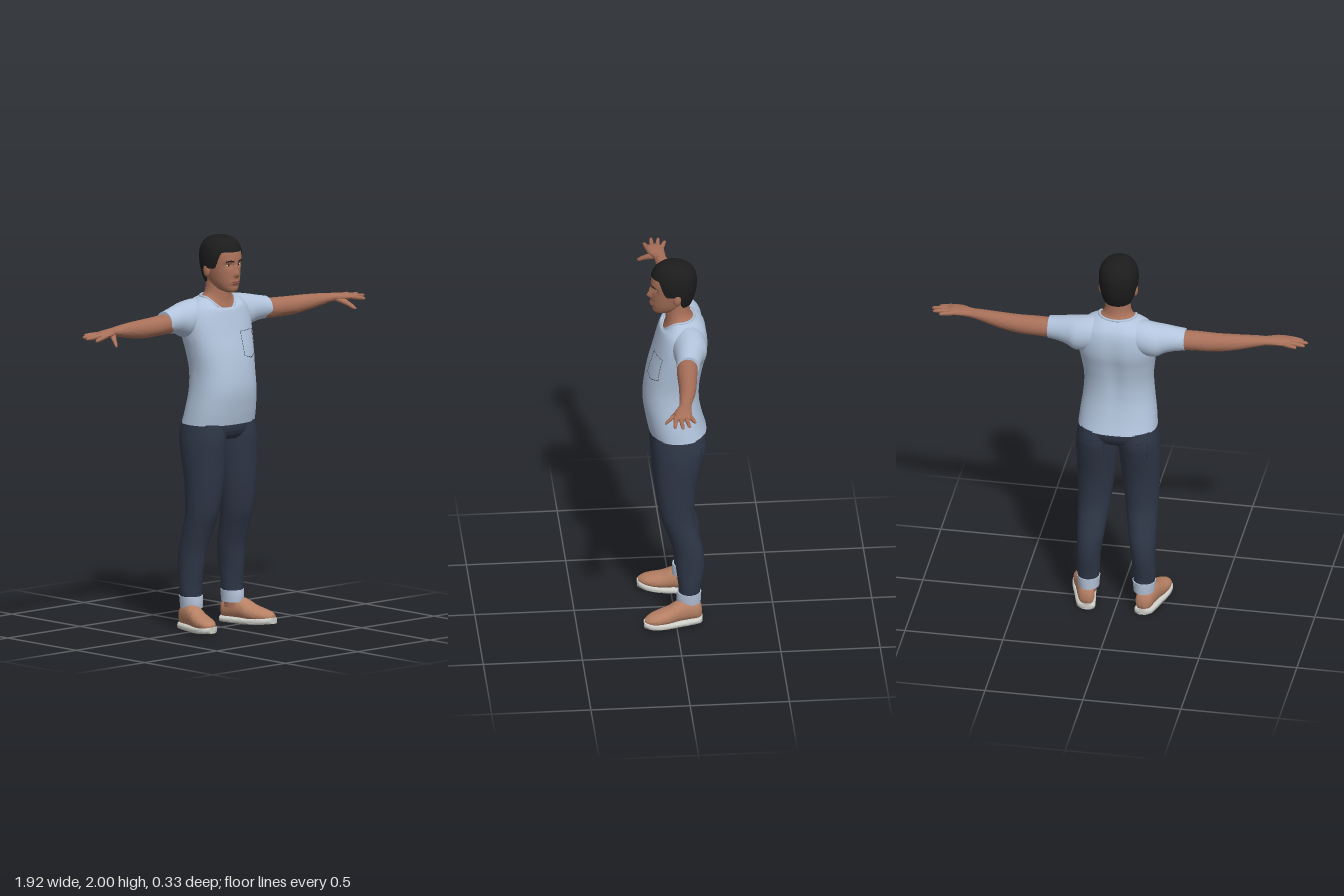
import * as THREE from 'three';
import { toCreasedNormals, mergeGeometries } from 'three/addons/utils/BufferGeometryUtils.js';

const mat = (name, color) => Object.assign(new THREE.MeshStandardMaterial({ color }), { name });
const gauss = (a, sa, b, sb) => Math.exp(-((a / sa) ** 2) - (b / sb) ** 2);

// Closed ring grid: fn(u, v) gives a point, u wraps around, v runs along the part
function grid(fn, nu, nv, caps) {
  const pos = [], idx = [];
  for (let j = 0; j <= nv; j++)
    for (let i = 0; i < nu; i++) pos.push(...fn(i / nu, j / nv));
  for (let j = 0; j < nv; j++)
    for (let i = 0; i < nu; i++) {
      const a = j * nu + i, b = j * nu + (i + 1) % nu;
      idx.push(a, b, b + nu, a, b + nu, a + nu);
    }
  if (caps) for (const [row, flip] of [[0, true], [nv, false]]) {
    const c = [0, 0, 0], k = pos.length / 3;
    for (let i = 0; i < nu; i++) for (let d = 0; d < 3; d++) c[d] += pos[(row * nu + i) * 3 + d] / nu;
    pos.push(...c);
    for (let i = 0; i < nu; i++) {
      const a = row * nu + i, b = row * nu + (i + 1) % nu;
      idx.push(...(flip ? [k, b, a] : [k, a, b]));
    }
  }
  const g = new THREE.BufferGeometry();
  g.setAttribute('position', new THREE.Float32BufferAttribute(pos, 3));
  g.setIndex(idx);
  return toCreasedNormals(g, 0.95);
}

// Smooth loft along an axis (0 x, 1 y, 2 z). Section: [t, centreP, centreQ, radiusP, radiusQ, frontDip]
// where P is the previous axis and Q the next one
function loft(axis, secs, { n = 32, steps = 5, e = 2, caps = true, sculpt } = {}) {
  const p = (axis + 2) % 3, q = (axis + 1) % 3, last = secs.length - 1;
  const at = (v) => {
    const f = v * last, i = Math.min(Math.floor(f), last - 1), t = f - i;
    const S = (k) => secs[Math.max(0, Math.min(last, k))];
    return [0, 1, 2, 3, 4, 5].map((k) => {
      const [a, b, c, d] = [-1, 0, 1, 2].map((o) => S(i + o)[k] ?? 0);
      return b + 0.5 * t * (c - a + t * (2 * a - 5 * b + 4 * c - d + t * (3 * (b - c) + d - a)));
    });
  };
  const pw = (x) => Math.sign(x) * Math.abs(x) ** (2 / e);
  return grid((u, v) => {
    const [t, cp, cq, rp, rq, dip] = at(v), s = Math.sin(u * 2 * Math.PI), c = Math.cos(u * 2 * Math.PI);
    const o = [0, 0, 0];
    o[axis] = t - dip * Math.max(0, c) ** 2;
    o[p] = cp + rp * pw(s);
    o[q] = cq + rq * pw(c);
    if (sculpt) sculpt(o);
    return o;
  }, n, last * steps, caps);
}

function mirrored(geo) {
  const g = geo.index ? geo.toNonIndexed() : geo.clone();
  for (const a of Object.values(g.attributes))
    for (let i = 0; i < a.count; i += 3)
      for (let k = 0; k < a.itemSize; k++) {
        const x = a.getComponent(i + 1, k);
        a.setComponent(i + 1, k, a.getComponent(i + 2, k));
        a.setComponent(i + 2, k, x);
      }
  return g.scale(-1, 1, 1);
}

// Point on the given meshes seen straight from the front (+1) or back (-1)
function project(meshes, x, y, dir) {
  const ray = new THREE.Raycaster(new THREE.Vector3(x, y, dir), new THREE.Vector3(0, 0, -dir));
  const hit = ray.intersectObjects(meshes)[0];
  return hit ? hit.point : new THREE.Vector3(x, y, 0.1 * dir);
}

// Dashed stitches along a polyline laid on the surface
function stitches(meshes, corners, dir) {
  const dashes = [];
  for (let k = 0; k + 1 < corners.length; k++) {
    const [a, b] = [corners[k], corners[k + 1]];
    const m = Math.max(2, Math.round(Math.hypot(b[0] - a[0], b[1] - a[1]) / 0.013));
    const pt = (f) => project(meshes, a[0] + (b[0] - a[0]) * f, a[1] + (b[1] - a[1]) * f, dir);
    for (let i = 0; i < m; i++)
      dashes.push(new THREE.TubeGeometry(new THREE.LineCurve3(pt(i / m), pt((i + 0.65) / m)), 1, 0.0018, 5));
  }
  return mergeGeometries(dashes);
}

export function createModel() {
  const root = new THREE.Group();
  root.name = 'standingMan';
  const skin = mat('skin', 0xa87059), shirt = mat('shirt', 0xb2c4dc), jeans = mat('denim', 0x2e3646);
  const hairM = mat('hair', 0x1c1c1c), shoe = mat('shoeLeather', 0xb68064), sole = mat('sole', 0xcfcfca);
  const cuffM = mat('cuff', 0xb4c3d8), thread = mat('stitching', 0x262c37);
  const white = mat('eyeWhite', 0xd2c8c0), lipM = mat('lips', 0x8e574a);
  const add = (name, geo, m) => {
    const mesh = new THREE.Mesh(geo, m);
    mesh.name = name;
    root.add(mesh);
    return mesh;
  };
  const pair = (name, geo, m) => [add(name + 'Left', geo, m), add(name + 'Right', mirrored(geo), m)];
  const blob = (x, y, z, a, b, c) => new THREE.SphereGeometry(1, 20, 14).scale(a, b, c).translate(x, y, z);

  // T-shirt: body, sleeves and neckband
  const body = add('shirtBody', loft(1, [
    [1.05, 0, -0.02, 0.2, 0.145], [1.12, 0, -0.003, 0.193, 0.143], [1.22, 0, 0.012, 0.18, 0.142],
    [1.32, 0, 0.008, 0.175, 0.139], [1.42, 0, -0.01, 0.186, 0.138], [1.5, 0, -0.031, 0.198, 0.136],
    [1.57, 0, -0.042, 0.2, 0.128], [1.63, 0, -0.045, 0.182, 0.115, 0.005],
    [1.667, 0, -0.038, 0.145, 0.098, 0.03], [1.69, 0, -0.025, 0.095, 0.08, 0.07],
  ], { n: 64, e: 2.3, sculpt: (o) => { if (o[2] < -0.05) o[2] += 0.012 * gauss(o[0], 0.035, o[1] - 1.4, 0.2); } }), shirt);
  pair('sleeve', loft(0, [
    [0.05, -0.06, 1.6, 0.075, 0.075], [0.13, -0.068, 1.592, 0.084, 0.088], [0.2, -0.068, 1.582, 0.084, 0.089],
    [0.25, -0.06, 1.588, 0.072, 0.074], [0.3, -0.052, 1.588, 0.063, 0.063], [0.348, -0.045, 1.585, 0.057, 0.057],
  ]), shirt);
  const neckline = [];
  for (let i = 0; i < 40; i++) {
    const a = i / 40 * 2 * Math.PI, c = Math.cos(a);
    neckline.push(new THREE.Vector3(0.093 * Math.sin(a), 1.69 - 0.07 * Math.max(0, c) ** 2, -0.025 + 0.079 * c));
  }
  add('neckband', new THREE.TubeGeometry(new THREE.CatmullRomCurve3(neckline, true), 80, 0.007, 8, true), cuffM);
  add('chestPocket', stitches([body],
    [[0.04, 1.515], [0.145, 1.515], [0.145, 1.395], [0.092, 1.38], [0.04, 1.395], [0.04, 1.515]], 1), thread);

  // Arms and hands
  pair('arm', loft(0, [
    [0.3, -0.045, 1.58, 0.051, 0.05], [0.4, -0.036, 1.578, 0.051, 0.05], [0.5, -0.03, 1.576, 0.046, 0.048],
    [0.6, -0.02, 1.581, 0.041, 0.041], [0.7, -0.004, 1.589, 0.033, 0.029], [0.75, 0.004, 1.592, 0.031, 0.022],
    [0.8, 0.018, 1.592, 0.042, 0.02], [0.85, 0.023, 1.59, 0.046, 0.016], [0.878, 0.024, 1.588, 0.036, 0.009],
  ]), skin);
  const fingers = [['indexFinger', 0.057, 0.93, 0.07, 1.573], ['middleFinger', 0.035, 0.96, 0.032, 1.583],
    ['ringFinger', 0.011, 0.95, -0.004, 1.586], ['littleFinger', -0.011, 0.912, -0.034, 1.589]];
  for (const [name, z0, x1, z1, y1] of fingers) {
    const s = (f, r) => [0.84 + (x1 - 0.84) * f, z0 + (z1 - z0) * f, 1.59 + (y1 - 1.59) * f, r, r];
    pair(name, loft(0, [s(0, 0.011), s(0.4, 0.0115), s(0.75, 0.0095), s(0.93, 0.0075), s(1, 0.002)], { n: 12, steps: 3 }), skin);
  }
  pair('thumb', loft(2, [
    [0.02, 1.588, 0.775, 0.015, 0.024], [0.05, 1.577, 0.79, 0.014, 0.019], [0.08, 1.56, 0.808, 0.012, 0.013],
    [0.103, 1.545, 0.82, 0.009, 0.01], [0.113, 1.539, 0.826, 0.003, 0.003],
  ], { n: 14, steps: 3 }), skin);

  // Jeans with turned-up cuffs
  const hips = add('hips', loft(1, [
    [0.97, 0, -0.02, 0.12, 0.1], [0.995, 0, -0.02, 0.175, 0.122], [1.03, 0, -0.021, 0.194, 0.135], [1.07, 0, -0.02, 0.19, 0.134],
  ], { n: 48, e: 2.3 }), jeans);
  const legs = pair('trouserLeg', loft(1, [
    [0.13, 0.141, -0.067, 0.05, 0.054], [0.2, 0.143, -0.07, 0.057, 0.056], [0.3, 0.14, -0.073, 0.06, 0.071],
    [0.4, 0.133, -0.065, 0.068, 0.075], [0.5, 0.127, -0.037, 0.076, 0.078], [0.6, 0.121, -0.01, 0.084, 0.086],
    [0.75, 0.114, -0.003, 0.096, 0.102], [0.9, 0.109, -0.015, 0.104, 0.124], [0.98, 0.106, -0.021, 0.103, 0.134],
    [1.055, 0.1, -0.02, 0.096, 0.128],
  ], { n: 40 }), jeans);
  pair('cuff', loft(1, [
    [0.11, 0.141, -0.066, 0.053, 0.06], [0.14, 0.142, -0.066, 0.056, 0.062], [0.17, 0.142, -0.068, 0.059, 0.061],
  ]), cuffM);
  pair('backPocket', stitches([hips, ...legs],
    [[0.05, 1.01], [0.17, 1.0], [0.165, 0.9], [0.11, 0.875], [0.055, 0.9], [0.05, 1.01]], -1), thread);

  // Shoes, toes turned slightly outwards
  pair('ankle', loft(1, [[0.08, 0.143, -0.065, 0.04, 0.048], [0.15, 0.142, -0.065, 0.04, 0.046]]), skin);
  const cx = (z) => 0.142 + 0.07 * (z + 0.13) / 0.3;
  const foot = [[-0.13, 0.058, 0.02, 0.03], [-0.113, 0.068, 0.04, 0.052], [-0.06, 0.076, 0.047, 0.058], [-0.01, 0.072, 0.05, 0.054],
    [0.04, 0.057, 0.055, 0.043], [0.09, 0.05, 0.055, 0.034], [0.13, 0.047, 0.044, 0.025], [0.16, 0.044, 0.018, 0.012]];
  pair('shoeUpper', loft(2, foot.map(([z, y, w, h]) => [z, y, cx(z), h, w]), { e: 2.2 }), shoe);
  pair('shoeSole', loft(2, foot.map(([z, , w]) =>
    [z * 1.03, 0.016 + 0.012 * Math.max(0, z / 0.16) ** 2, cx(z), 0.016, w + 0.005]), { e: 5, n: 40 }), sole);

  // Neck and head with a modelled face
  add('neck', loft(1, [
    [1.686, 0, -0.025, 0.094, 0.08, 0.07], [1.705, 0, -0.024, 0.073, 0.065, 0.045],
    [1.74, 0, -0.022, 0.064, 0.06, 0.015], [1.8, 0, -0.02, 0.062, 0.06],
  ], { n: 40 }), skin);
  const head = add('head', loft(1, [
    [1.717, 0, 0.066, 0.022, 0.026], [1.73, 0, 0.05, 0.043, 0.054], [1.76, 0, 0.025, 0.063, 0.084],
    [1.8, 0, 0.011, 0.076, 0.099], [1.85, 0, 0.003, 0.086, 0.106], [1.9, 0, 0.002, 0.089, 0.109],
    [1.94, 0, 0, 0.083, 0.099], [1.97, 0, 0, 0.06, 0.07], [1.985, 0, 0, 0.02, 0.02],
  ], { n: 96, steps: 8, e: 2.15, sculpt: (o) => {
    if (o[2] < 0.02) return;
    const [x, y] = o, ex = Math.abs(x) - 0.034;
    o[2] += 0.023 * gauss(x, 0.014, y - 1.813, 0.016) + 0.013 * gauss(x, 0.011, y - 1.843, 0.022)
      - 0.012 * gauss(ex, 0.018, y - 1.858, 0.013) + 0.005 * gauss(ex, 0.028, y - 1.882, 0.009)
      + 0.007 * gauss(x, 0.024, y - 1.771, 0.011) - 0.004 * gauss(x, 0.03, y - 1.751, 0.008);
  } }), skin);
  pair('ear', blob(0.088, 1.828, -0.012, 0.012, 0.034, 0.021), skin);

  // Eyes, brows and lips
  const eye = project([head], 0.034, 1.857, 1);
  pair('eye', blob(0.034, 1.857, eye.z - 0.003, 0.014, 0.0055, 0.006), white);
  pair('iris', blob(0.034, 1.857, eye.z + 0.001, 0.005, 0.005, 0.003), hairM);
  const brow = [0.014, 0.025, 0.038, 0.053].map((x, i) => project([head], x, 1.876 + [0, 0.004, 0.005, 0][i], 1));
  pair('eyebrow', new THREE.TubeGeometry(new THREE.CatmullRomCurve3(brow), 14, 0.0032, 6), hairM);
  for (const [name, y, h] of [['upperLip', 1.7745, 0.0035], ['lowerLip', 1.7665, 0.0045]]) {
    const pts = [-0.023, -0.012, 0, 0.012, 0.023].map((x) => project([head], x, y - 0.002 * Math.abs(x / 0.023), 1));
    add(name, new THREE.TubeGeometry(new THREE.CatmullRomCurve3(pts), 20, h, 8), lipM);
  }

  // Short hair: a dome whose lower edge follows the hairline
  const ss = THREE.MathUtils.smoothstep;
  add('hair', grid((u, v) => {
    const th = u * 2 * Math.PI, a = Math.min(th, 2 * Math.PI - th);
    const low = 1.925 - 0.085 * ss(a, 0.75, 1.2) - 0.075 * ss(a, 1.7, 2.1);
    const f = Math.max(0, (v * 25 - 1) / 24), y = low + (2 - low) * Math.sin(f * Math.PI / 2);
    let k = y > 1.89 ? Math.max(0, 1 - ((y - 1.89) / 0.11) ** 2.4) ** (1 / 2.4) : 1 - 0.25 * ((1.89 - y) / 0.125) ** 2;
    if (v === 0) k *= 0.85;
    return [0.1 * k * Math.sin(th), y, -0.002 + 0.117 * k * Math.cos(th)];
  }, 72, 25, false), hairM);

  return root;
}
